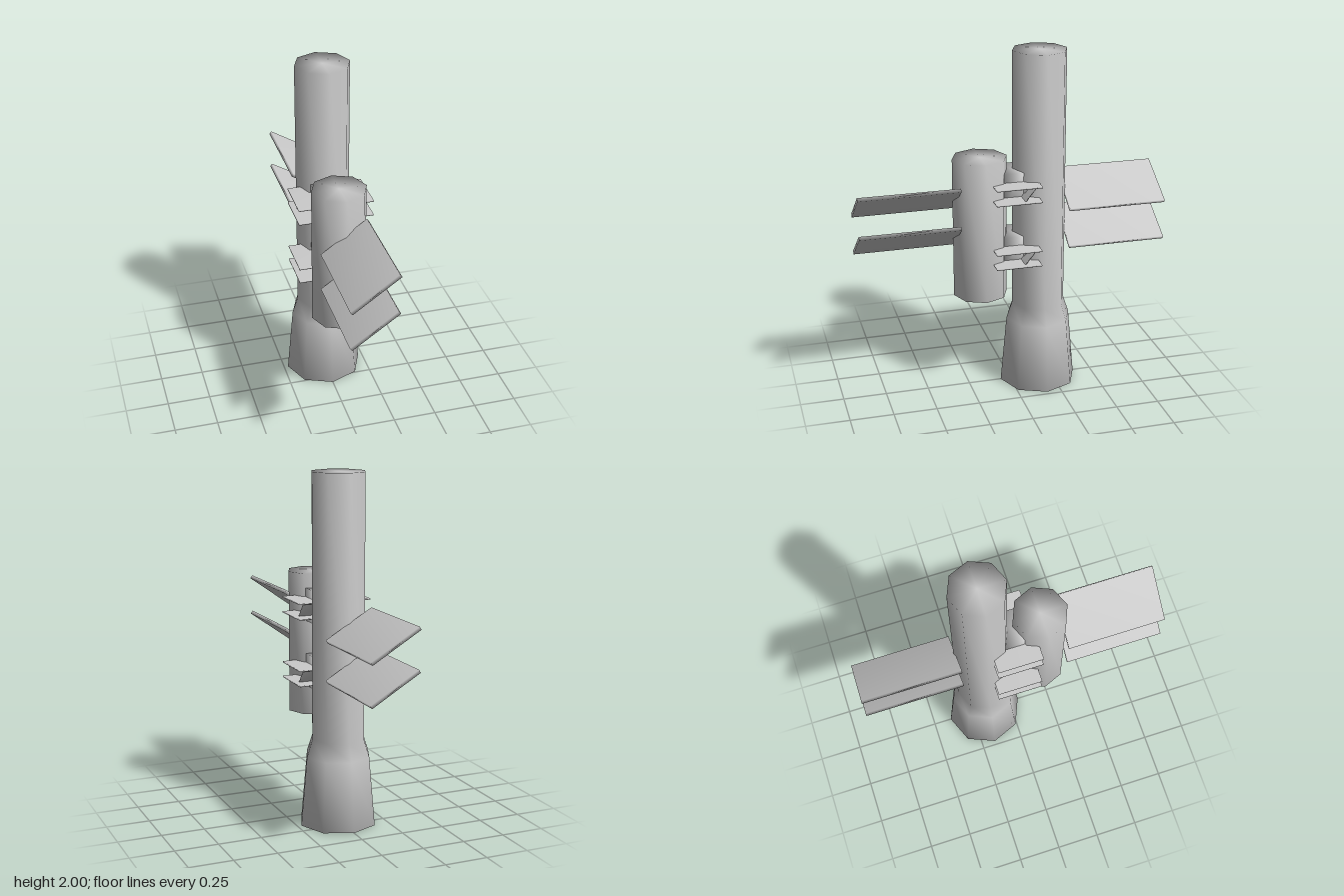
import * as THREE from 'three';
import { mergeVertices } from 'three/addons/utils/BufferGeometryUtils.js';

const material = new THREE.MeshStandardMaterial({ color: 0xcccccc });

// Weld corners so shading runs softly over every edge
function soften(geometry) {
  geometry.deleteAttribute('normal');
  geometry.deleteAttribute('uv');
  const welded = mergeVertices(geometry, 1e-4);
  welded.computeVertexNormals();
  return welded;
}

function part(name, geometry, x, y, z) {
  const mesh = new THREE.Mesh(soften(geometry), material);
  mesh.name = name;
  mesh.position.set(x, y, z);
  return mesh;
}

// Eight-sided closed hull from [radius, height] pairs
function hull(name, profile, z) {
  const points = profile.map(([r, y]) => new THREE.Vector2(r, y));
  return part(name, new THREE.LatheGeometry(points, 8), 0, 0, z);
}

export function createModel() {
  const group = new THREE.Group();

  // Tall module with a flared base, and the short module beside it
  group.add(hull('mainModule',
    [[0, 0], [0.226, 0], [0.19, 0.4], [0.157, 0.5], [0.157, 2], [0, 2]], -0.168));
  group.add(hull('frontModule',
    [[0, 0.585], [0.157, 0.585], [0.157, 1.408], [0, 1.408]], 0.177));

  // Tilted solar panels, two at the front and two at the back
  for (const y of [0.949, 1.174]) {
    const front = part('frontPanel', new THREE.BoxGeometry(0.32, 0.022, 0.575), -0.004, y, 0.598);
    front.rotation.z = THREE.MathUtils.degToRad(35.5);
    const back = part('backPanel', new THREE.BoxGeometry(0.318, 0.02, 0.57), -0.003, y, -0.6);
    back.rotation.z = THREE.MathUtils.degToRad(-30.7);
    group.add(front, back);
  }

  // Two couplings joining the modules: block, thin plates and slanted braces
  for (const y of [0.853, 1.233]) {
    const coupling = new THREE.Group();
    coupling.name = 'coupling';
    coupling.position.y = y;
    coupling.add(part('couplingBlock', new THREE.BoxGeometry(0.2, 0.188, 0.112), 0, 0, 0.004));
    for (const py of [-0.047, 0.04]) {
      coupling.add(part('couplingPlate', new THREE.BoxGeometry(0.43, 0.007, 0.262), 0, py, 0));
    }
    for (const side of [-1, 1]) {
      const brace = part('couplingBrace', new THREE.BoxGeometry(0.1, 0.11, 0.006), side * 0.134, -0.004, -0.074);
      brace.rotation.x = -0.68;
      coupling.add(brace);
    }
    group.add(coupling);
  }
  return group;
}
